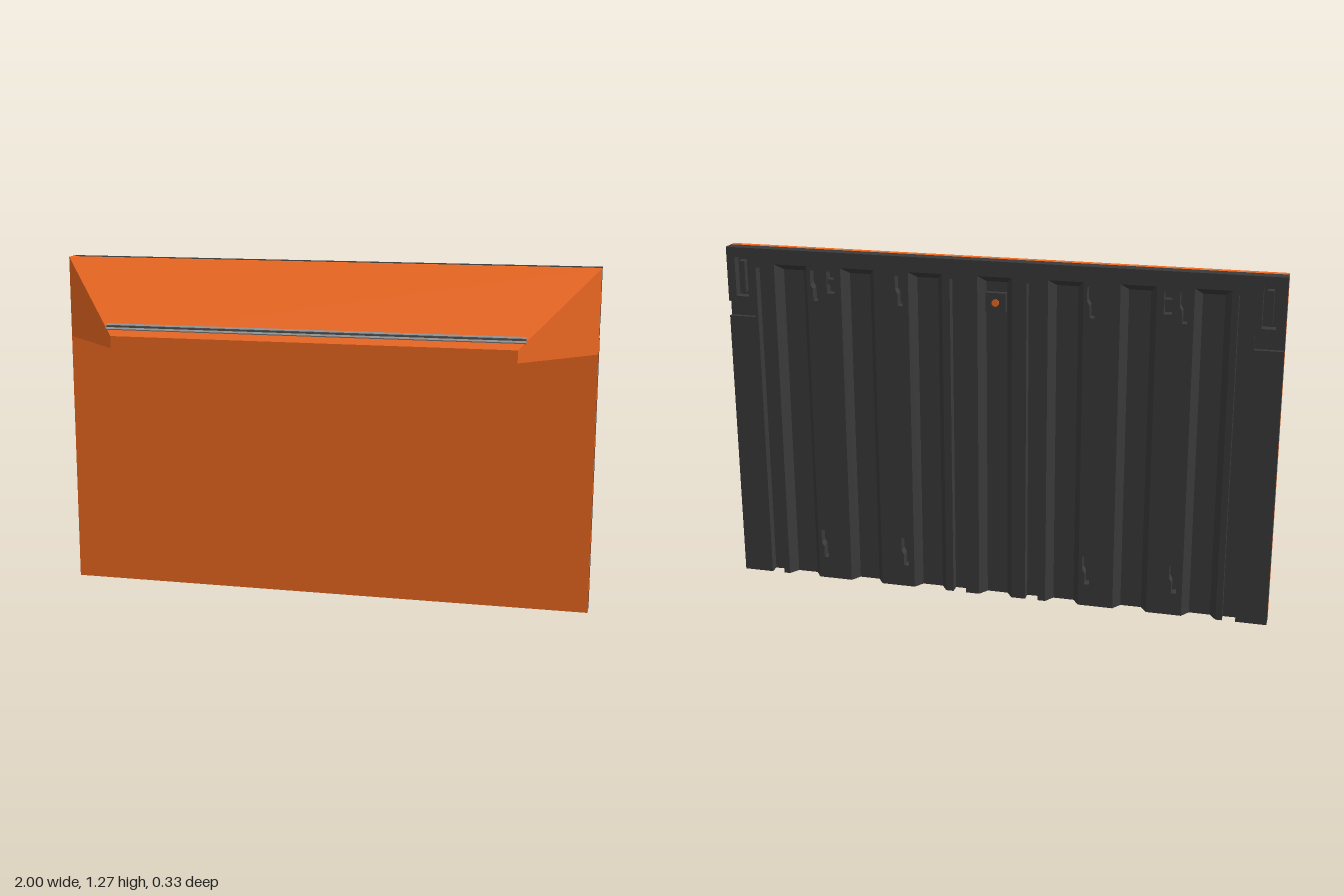
import * as THREE from 'three';
import { ConvexGeometry } from 'three/addons/geometries/ConvexGeometry.js';

const material = (color) => new THREE.MeshStandardMaterial({ color, flatShading: true });

export function createModel() {
  const model = new THREE.Group();
  const orange = material(0xf26a21);
  const dark = material(0x3a3a3a);
  const grey = material(0x999999);

  const add = (name, geometry, mat) => {
    const mesh = new THREE.Mesh(geometry, mat);
    mesh.name = name;
    model.add(mesh);
    return mesh;
  };
  // Box given by its limits on each axis
  const box = (name, [x0, x1], [y0, y1], [z0, z1], mat) => {
    const g = new THREE.BoxGeometry(x1 - x0, y1 - y0, z1 - z0);
    return add(name, g.translate((x0 + x1) / 2, (y0 + y1) / 2, (z0 + z1) / 2), mat);
  };
  const shapeOf = (pts) => new THREE.Shape(pts.map(([x, y]) => new THREE.Vector2(x, y)));
  const extrude = (shape, depth) => new THREE.ExtrudeGeometry(shape, { depth, bevelEnabled: false });

  const H = 1.27, BACK = -0.165, FLOOR = -0.13;

  // Front plate and the sheet behind it
  box('frontPlate', [-1, 1], [0, H], [-0.12, -0.095], orange);
  box('backSheet', [-1, 1], [0, H], [FLOOR, -0.12], dark);

  // Hood with sloped top, slanted ends and a short front lip
  const hoodPoints = [];
  for (const s of [-1, 1]) {
    hoodPoints.push(
      new THREE.Vector3(s, 0.965, -0.095), new THREE.Vector3(s, H, -0.095),
      new THREE.Vector3(s * 0.74, 0.965, 0.165), new THREE.Vector3(s * 0.74, 1.01, 0.165));
  }
  add('hood', new ConvexGeometry(hoodPoints), orange);

  // Twin rail along the lower part of the slope
  const rail = new THREE.Group();
  rail.name = 'hoodRail';
  rail.position.set(0, 1.039, 0.136);
  rail.rotation.x = Math.PI / 4;
  for (const [z, w, h, mat] of [[-0.009, 0.008, 0.012, grey], [0.009, 0.008, 0.012, grey], [0, 0.01, 0.006, dark]]) {
    const bar = new THREE.Mesh(new THREE.BoxGeometry(1.53, h, w), mat);
    bar.name = 'railBar';
    bar.position.z = z;
    rail.add(bar);
  }
  model.add(rail);

  // Vertical channels of the back: [centre, half width, top]
  const wide = [-3, -2, -1, 0, 1, 2, 3].map((k) => [k * 0.252, 0.062, 1.215]);
  const narrow = [-0.865, -0.138, 0.138, 0.865].map((x) => [x, 0.024, 1.2]);
  const channels = [...wide, ...narrow].sort((a, b) => a[0] - b[0]);

  // Ribbed back: comb outline, open at the bottom, with a notch on each side
  const outline = [[-1, 0]];
  for (const [x, w, top] of channels) outline.push([x - w, 0], [x - w, top], [x + w, top], [x + w, 0]);
  const side = [[1, 0], [1, 1.015], [0.9, 1.015], [0.9, 1.07], [1, 1.07], [1, H]];
  outline.push(...side, ...side.slice(1).reverse().map(([x, y]) => [-x, y]));
  const ribbed = shapeOf(outline);
  const cut = (pts) => ribbed.holes.push(new THREE.Path(pts.map(([x, y]) => new THREE.Vector2(x, y))));
  const cutRect = (x, w, y0, y1) => cut([[x - w, y0], [x - w, y1], [x + w, y1], [x + w, y0]]);

  for (const s of [-1, 1]) {
    // Keyholes for hanging, upper and lower
    for (const x of [0.663, 0.345]) {
      for (const y of [0.14, 1.145]) {
        cut([[-0.018, 0.055], [0.018, 0.055], [0.018, 0.005], [0.009, -0.012], [0.009, -0.055],
          [-0.009, -0.055], [-0.009, -0.012], [-0.018, 0.005]].map(([a, b]) => [s * x + a, y + b]));
      }
    }
    // Small slots and corner latch slots
    cutRect(s * 0.605, 0.014, 1.12, 1.2);
    cutRect(s * 0.945, 0.024, 1.09, 1.235);
    box('slotBar', [s * 0.605 - 0.014, s * 0.605 + 0.014], [1.15, 1.17], [-0.155, FLOOR], dark);
    box('latch', [s * 0.945 - 0.011, s * 0.945 + 0.011], [1.105, 1.22], [-0.16, FLOOR], dark);
    // Inner half of the side notch stays filled
    box('notchFloor', [s * 0.95 - 0.05, s * 0.95 + 0.05], [1.015, 1.07], [-0.148, FLOOR], dark);
  }
  add('ribbedBack', extrude(ribbed, FLOOR - BACK).translate(0, 0, BACK), dark);

  // Sloped walls inside the wide channels
  const slope = 0.024;
  for (const [x, w, top] of wide) {
    for (const s of [-1, 1]) {
      const wall = extrude(shapeOf([[s * w, -FLOOR], [s * w, -BACK], [s * (w - slope), -FLOOR]]), top);
      add('channelWall', wall.rotateX(-Math.PI / 2).translate(x, 0, 0), dark);
    }
    const cap = extrude(shapeOf([[-FLOOR, top], [-BACK, top], [-FLOOR, top - slope]]), 2 * w);
    add('channelTop', cap.rotateY(Math.PI / 2).translate(x - w, 0, 0), dark);
  }

  // Socket with a coloured button in the middle channel
  box('socket', [-0.036, 0.036], [1.085, 1.155], [-0.152, FLOOR], dark);
  const button = new THREE.CylinderGeometry(0.013, 0.013, 0.006, 16).rotateX(Math.PI / 2);
  add('button', button.translate(0, 1.12, -0.154), orange);

  return model;
}
